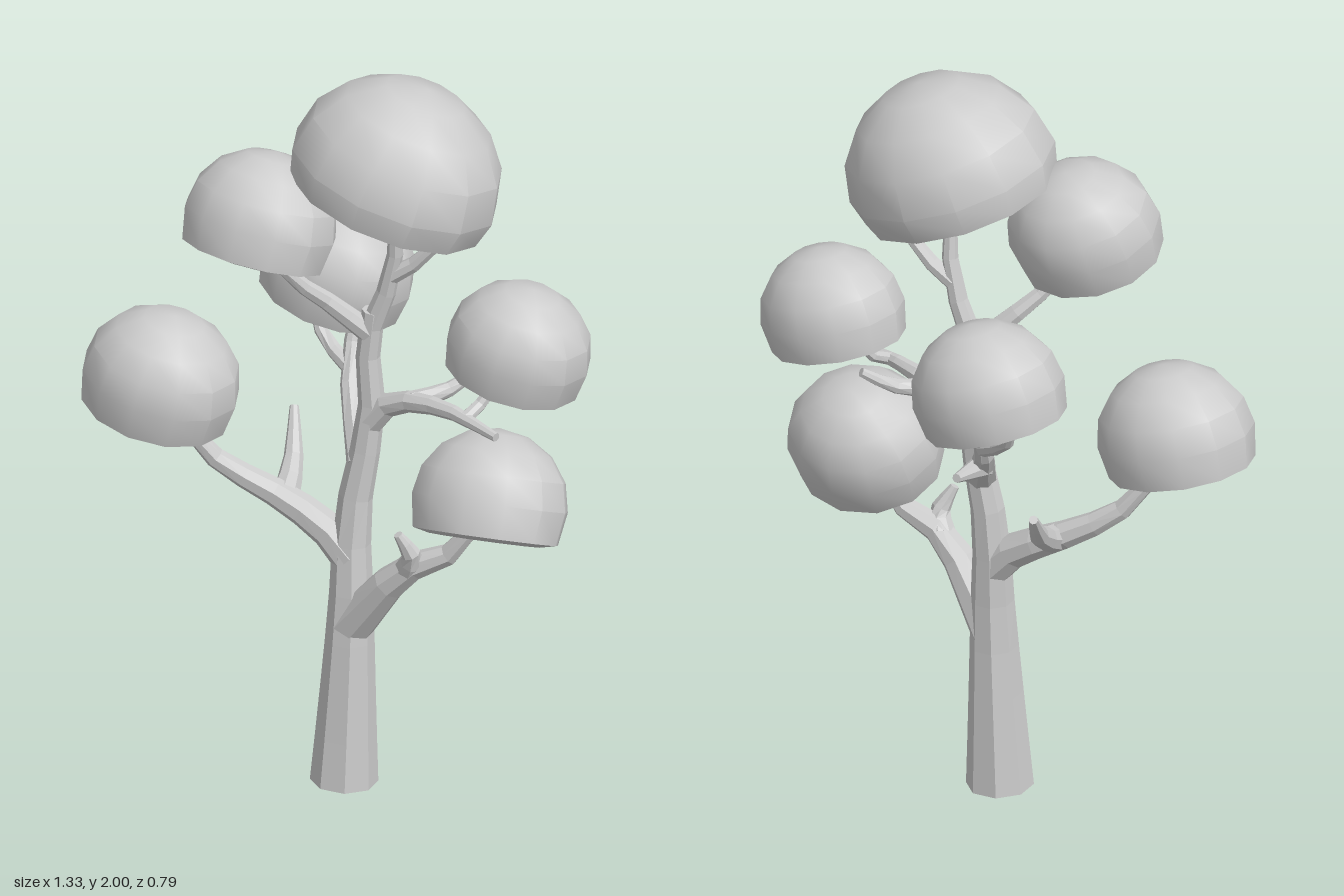
import * as THREE from 'three';
import { toCreasedNormals } from 'three/addons/utils/BufferGeometryUtils.js';

const SIDES = 8;
const TIP = 0.012;
const woodMaterial = new THREE.MeshStandardMaterial({ color: 0xcccccc, flatShading: true });
const leafMaterial = new THREE.MeshStandardMaterial({ color: 0xcccccc });
const at = (x, y, z) => new THREE.Vector3(x, y, z);

// Closed, tapering tube along a smooth curve.
function limb(tree, name, points, radiusAt) {
  const curve = new THREE.CatmullRomCurve3(points);
  const steps = Math.max(3, points.length * 2 - 2);
  const pos = [], index = [];

  const ring = (t, radius) => {
    const center = curve.getPointAt(t), tangent = curve.getTangentAt(t);
    const u = at(0, 0, 1).cross(tangent).normalize();
    const v = tangent.clone().cross(u);
    for (let j = 0; j < SIDES; j++) {
      const a = ((j + 0.5) / SIDES) * Math.PI * 2;
      const p = center.clone()
        .addScaledVector(u, Math.cos(a) * radius)
        .addScaledVector(v, Math.sin(a) * radius);
      pos.push(p.x, p.y, p.z);
    }
  };

  // Rings of zero radius close the two ends.
  ring(0, 0);
  for (let i = 0; i <= steps; i++) ring(i / steps, radiusAt(i / steps));
  ring(1, 0);
  for (let i = 0; i < steps + 2; i++) {
    for (let j = 0; j < SIDES; j++) {
      const a = i * SIDES + j, b = i * SIDES + ((j + 1) % SIDES);
      index.push(a, b, b + SIDES, a, b + SIDES, a + SIDES);
    }
  }

  const geometry = new THREE.BufferGeometry();
  geometry.setAttribute('position', new THREE.Float32BufferAttribute(pos, 3));
  geometry.setIndex(index);
  geometry.computeVertexNormals();
  const mesh = new THREE.Mesh(geometry, woodMaterial);
  mesh.name = name;
  tree.add(mesh);
  return { curve, radiusAt };
}

// Limb that starts inside its parent, with the parent's thickness there.
function branch(tree, name, parent, t, ...points) {
  const start = parent.radiusAt(t);
  return limb(tree, name, [parent.curve.getPointAt(t), ...points],
    s => THREE.MathUtils.lerp(start, TIP, s));
}

// Faceted dome over a short tapered skirt, leaning toward x and z; returns its center.
function crown(tree, name, center, radius, leanX, leanZ, skirt = 0.45) {
  const profile = [
    new THREE.Vector2(0, -skirt - 0.05),
    new THREE.Vector2(0.72, -skirt - 0.05),
    new THREE.Vector2(0.93, -skirt),
  ];
  for (let i = 0; i <= 4; i++) {
    const a = (i / 4) * Math.PI / 2;
    profile.push(new THREE.Vector2(i === 4 ? 0 : Math.cos(a), Math.sin(a)));
  }
  const lathe = new THREE.LatheGeometry(profile, 12);
  lathe.scale(radius, radius * 0.93, radius * 0.92);
  const mesh = new THREE.Mesh(toCreasedNormals(lathe, 0.62), leafMaterial);
  mesh.name = name;
  mesh.position.copy(center);
  mesh.quaternion.setFromUnitVectors(at(0, 1, 0), at(leanX, 1, leanZ).normalize());
  tree.add(mesh);
  return center;
}

export function createModel() {
  const tree = new THREE.Group();
  tree.name = 'tree';

  // Crowns
  const topCrown = crown(tree, 'topCrown', at(0.155, 1.735, 0.09), 0.285, 0.33, -0.12, 0.28);
  const upperLeftCrown = crown(tree, 'upperLeftCrown', at(-0.17, 1.6, 0.205), 0.205, 0.15, -0.3);
  crown(tree, 'backCrown', at(-0.12, 1.3, -0.205), 0.205, 0.29, 0);
  const leftCrown = crown(tree, 'leftCrown', at(-0.455, 1.09, 0.18), 0.21, 0.23, 0.03);
  const upperRightCrown = crown(tree, 'upperRightCrown', at(0.475, 1.277, 0.03), 0.193, 0.24, 0);
  const lowerRightCrown = crown(tree, 'lowerRightCrown', at(0.435, 0.875, 0.13), 0.208, -0.03, -0.47);

  // Trunk, flared at the foot
  const trunk = limb(tree, 'trunk', [
    at(0.02, 0, 0.1), at(0.035, 0.5, 0.09), at(0.035, 0.75, 0.075),
    at(0.08, 1.05, 0.06), at(0.07, 1.2, 0.06), at(0.085, 1.33, 0.06),
  ], t => 0.03 + 0.058 * (1 - t) ** 1.5);

  // Lower right branch
  const lowerRight = branch(tree, 'lowerRightBranch', trunk, 0.33,
    at(0.21, 0.65, 0.14), at(0.33, 0.715, 0.13), lowerRightCrown);
  branch(tree, 'lowerRightTwig', lowerRight, 0.47, at(0.235, 0.7, 0.165), at(0.205, 0.77, 0.19));

  // Long left branch
  const left = branch(tree, 'leftBranch', trunk, 0.47,
    at(-0.04, 0.7, 0.08), at(-0.17, 0.77, 0.08), at(-0.34, 0.88, 0.13), leftCrown);
  branch(tree, 'leftTwig', left, 0.33, at(-0.17, 0.81, -0.02), at(-0.21, 0.92, -0.13));

  // Back branch
  const back = branch(tree, 'backBranch', trunk, 0.67, at(-0.045, 1.07, -0.1), at(-0.05, 1.24, -0.17));
  branch(tree, 'backFork', back, 0.6, at(-0.14, 1.13, -0.15), at(-0.19, 1.25, -0.2));
  branch(tree, 'backTwig', back, 0.28, at(0, 1, -0.16));

  // Upper right branch
  const upperRight = branch(tree, 'upperRightBranch', trunk, 0.76,
    at(0.14, 1.08, 0.07), at(0.3, 1.115, 0.12), at(0.48, 1.1, 0.2));
  branch(tree, 'upperRightTwig', upperRight, 0.35, at(0.28, 1.12, 0.01), at(0.345, 1.17, -0.05));
  branch(tree, 'upperRightFork', upperRight, 0.75, at(0.4, 1.14, 0.1), upperRightCrown);

  // Top forks
  branch(tree, 'topLeftBranch', trunk, 0.95, at(-0.03, 1.37, 0.12), at(-0.1, 1.45, 0.18), upperLeftCrown);
  const top = branch(tree, 'topBranch', trunk, 0.96, at(0.14, 1.46, 0.06), topCrown);
  branch(tree, 'topRightFork', top, 0.36, at(0.23, 1.51, 0.05), at(0.3, 1.66, 0.05));

  return tree;
}
